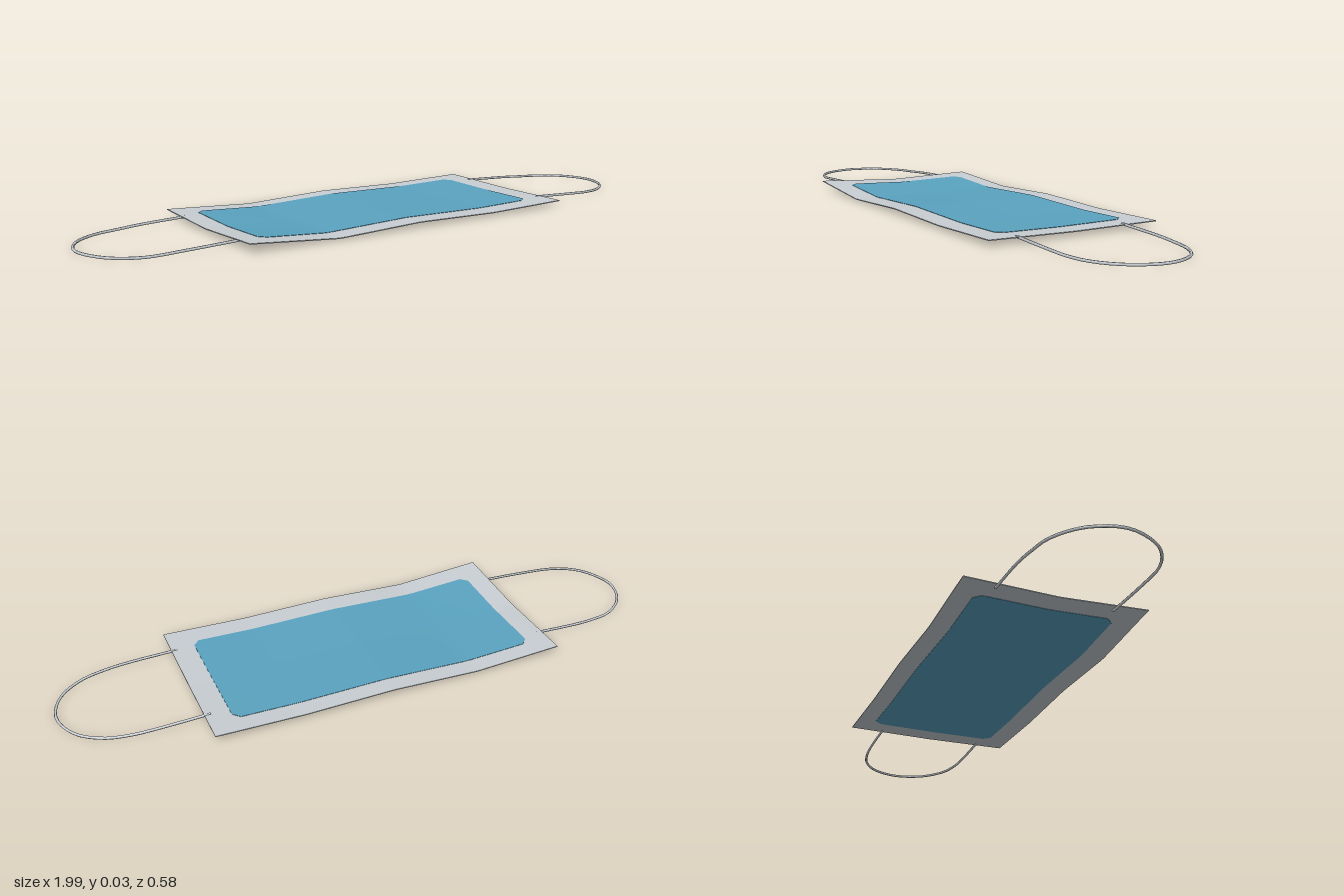
import * as THREE from 'three';

// Heights of the rippled sheet at five stations along x: back edge, middle, front edge
const HEIGHTS = [
  [0.022, 0.006, 0.018, 0.012, 0.018],
  [0.015, 0.005, 0.013, 0.010, 0.015],
  [0.030, 0.006, 0.018, 0.012, 0.019],
];
const WIDTH = 1.17, DEPTH = 0.585;

function rippleHeight(x, z) {
  const u = THREE.MathUtils.clamp((x + WIDTH / 2) / WIDTH, 0, 1) * 4;
  const v = THREE.MathUtils.clamp((z + DEPTH / 2) / DEPTH, 0, 1) * 2;
  const i = Math.min(3, Math.floor(u)), j = Math.min(1, Math.floor(v));
  const row = (k) => THREE.MathUtils.lerp(HEIGHTS[k][i], HEIGHTS[k][i + 1], u - i);
  return THREE.MathUtils.lerp(row(j), row(j + 1), v - j);
}

// Thin slab that follows the ripple, with optionally clipped corners
function rippledSlab(width, depth, thickness, cx, cz, corner) {
  const geo = new THREE.BoxGeometry(width, thickness, depth, 48, 1, 24);
  const p = geo.attributes.position;
  for (let i = 0; i < p.count; i++) {
    let x = p.getX(i), z = p.getZ(i);
    const over = Math.max(0, Math.abs(x) - (width / 2 - corner));
    if (corner > 0) z *= 1 - (over * over / corner) / (depth / 2);
    x += cx;
    z += cz;
    p.setXYZ(i, x, p.getY(i) + rippleHeight(x, z), z);
  }
  geo.computeVertexNormals();
  return geo;
}

// Elastic loop through plan points, sinking to the ground away from the sheet
function earLoop(points) {
  const path = points.map(([x, z]) => {
    const t = THREE.MathUtils.smoothstep(Math.abs(x), 0.56, 0.88);
    return new THREE.Vector3(x, THREE.MathUtils.lerp(0.017, 0.0045, t), z);
  });
  const curve = new THREE.CatmullRomCurve3(path, false, 'centripetal');
  return new THREE.TubeGeometry(curve, 40, 0.0045, 6);
}

export function createModel() {
  const group = new THREE.Group();
  const cloth = new THREE.MeshStandardMaterial({ color: 0xc8ced3 });
  cloth.name = 'pale grey cloth';
  const blue = new THREE.MeshStandardMaterial({ color: 0x5aa3c0 });
  blue.name = 'blue panel';

  const add = (name, geometry, material) => {
    const mesh = new THREE.Mesh(geometry, material);
    mesh.name = name;
    group.add(mesh);
  };

  // Cloth sheet and the coloured panel showing on both sides
  add('maskSheet', rippledSlab(WIDTH, DEPTH, 0.003, -0.005, -0.003, 0), cloth);
  add('filterPanel', rippledSlab(1.02, 0.446, 0.0054, -0.008, -0.01, 0.022), blue);

  // Ear loops
  add('leftEarLoop', earLoop([
    [0.56, -0.183], [0.73, -0.181], [0.80, -0.175], [0.88, -0.155], [0.955, -0.10], [0.991, 0],
    [0.957, 0.10], [0.88, 0.163], [0.80, 0.185], [0.73, 0.19], [0.56, 0.188],
  ]), cloth);
  add('rightEarLoop', earLoop([
    [-0.57, -0.19], [-0.73, -0.19], [-0.80, -0.183], [-0.88, -0.165], [-0.96, -0.10], [-0.995, 0],
    [-0.96, 0.10], [-0.915, 0.145], [-0.85, 0.173], [-0.73, 0.181], [-0.57, 0.182],
  ]), cloth);

  return group;
}
